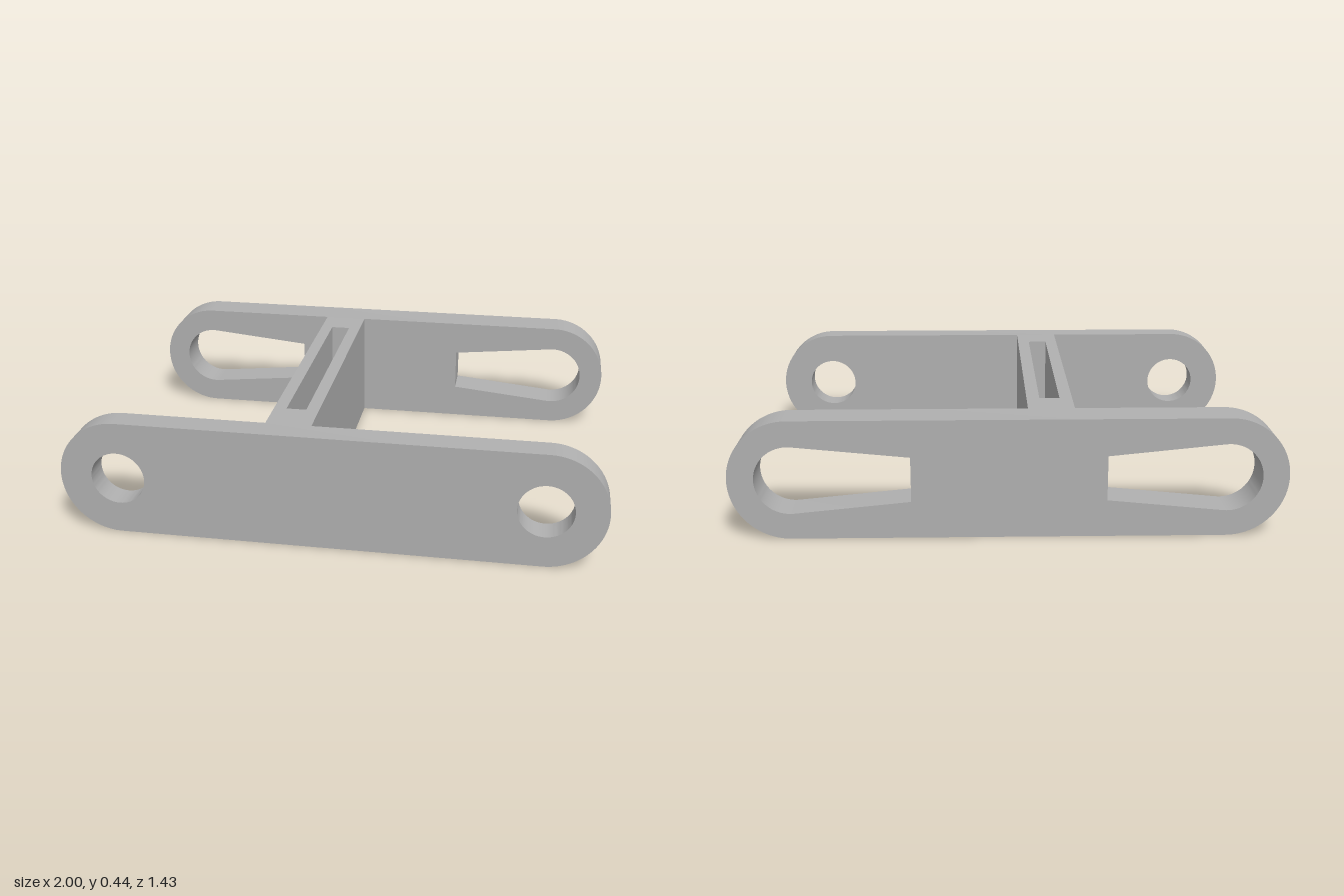
import * as THREE from 'three';
import { toCreasedNormals } from 'three/addons/utils/BufferGeometryUtils.js';

const R = 0.22;   // plate end radius, also its mid height
const CX = 0.78;  // pivot offset from the centre

// Plate outline with rounded ends
function plateShape() {
  const s = new THREE.Shape();
  s.absarc(CX, R, R, -Math.PI / 2, Math.PI / 2, false);
  s.absarc(-CX, R, R, Math.PI / 2, Math.PI * 1.5, false);
  s.closePath();
  return s;
}

function roundHole(side) {
  return new THREE.Path().absarc(side * CX, R, 0.101, 0, Math.PI * 2, true);
}

// Tapered slot: round at the outer end, narrow and square at the inner end
function taperedSlot(side) {
  const p = new THREE.Path(), inner = 0.35, half = 0.083, r = 0.125, lean = 0.099;
  const pts = [new THREE.Vector2(side * inner, R - half)];
  const a = Math.PI / 2 + lean, n = 40;
  for (let i = 0; i <= n; i++) {
    const t = -a + (2 * a * i) / n;
    pts.push(new THREE.Vector2(side * (CX + r * Math.cos(t)), R + r * Math.sin(t)));
  }
  pts.push(new THREE.Vector2(side * inner, R + half));
  return p.setFromPoints(pts);
}

function extrude(shape, depth) {
  const g = new THREE.ExtrudeGeometry(shape, { depth, bevelEnabled: false, curveSegments: 40 });
  return toCreasedNormals(g, 0.5);
}

export function createModel() {
  const group = new THREE.Group();
  group.name = 'linkBracket';
  const grey = new THREE.MeshStandardMaterial({ color: 0xb0b0b0 });
  grey.name = 'plain grey';

  const add = (name, geometry) => {
    const mesh = new THREE.Mesh(geometry, grey);
    mesh.name = name;
    group.add(mesh);
    return mesh;
  };

  // Front plate with two round pivot holes
  const front = plateShape();
  front.holes.push(roundHole(-1), roundHole(1));
  add('frontPlate', extrude(front, 0.1)).position.z = 0.615;

  // Thicker back plate with two tapered slots
  const back = plateShape();
  back.holes.push(taperedSlot(-1), taperedSlot(1));
  add('backPlate', extrude(back, 0.14)).position.z = -0.715;

  // Connecting web, slotted from top to bottom (shape y is -z)
  const rect = (Type, x0, x1, z0, z1) => new Type([
    new THREE.Vector2(x0, -z1), new THREE.Vector2(x1, -z1),
    new THREE.Vector2(x1, -z0), new THREE.Vector2(x0, -z0),
  ]);
  const web = rect(THREE.Shape, -0.24, -0.07, -0.575, 0.615);
  web.holes.push(rect(THREE.Path, -0.193, -0.118, -0.442, 0.475));
  add('connectingWeb', extrude(web, 2 * R).rotateX(-Math.PI / 2));

  return group;
}
